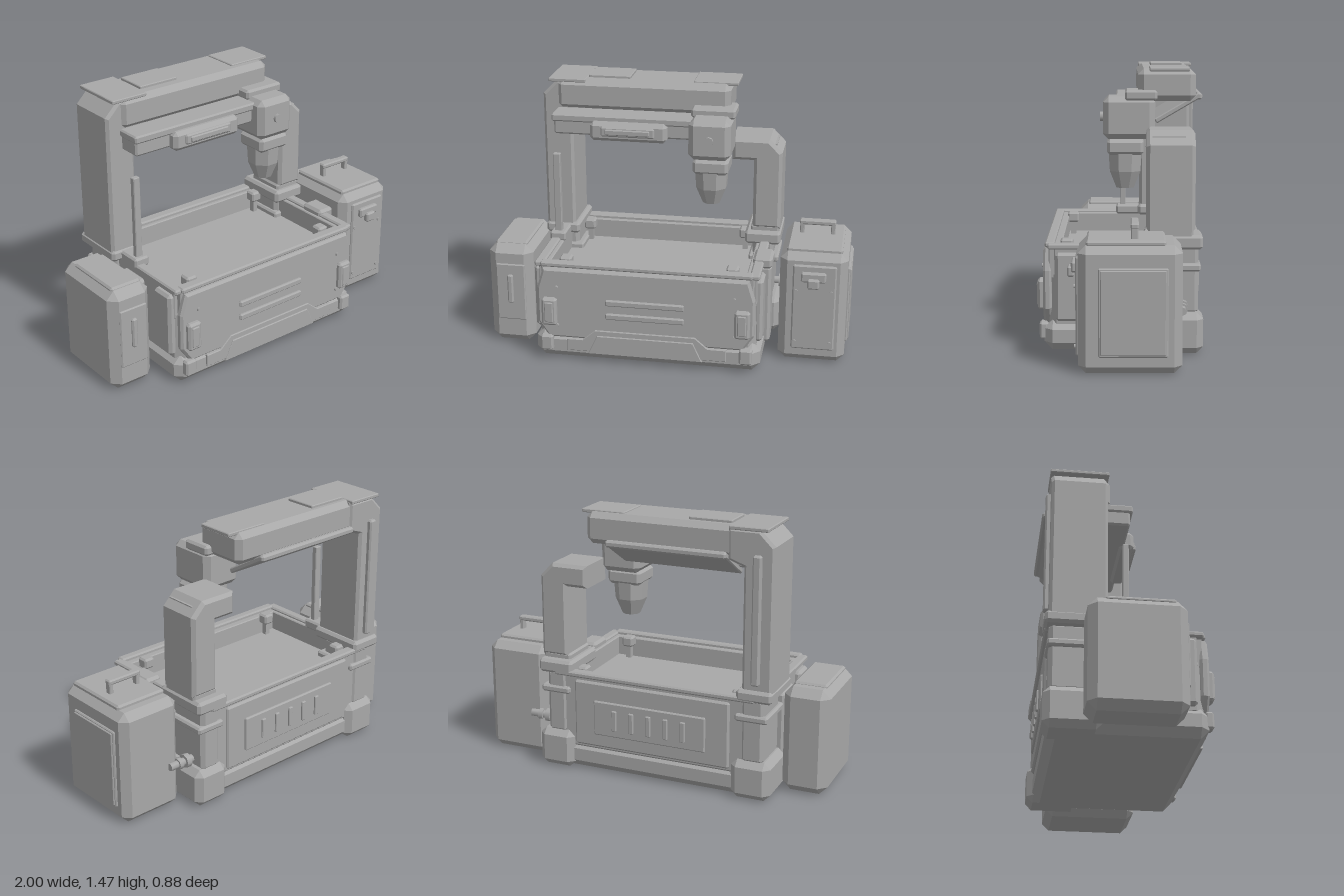
import * as THREE from 'three';
import { ConvexGeometry } from 'three/addons/geometries/ConvexGeometry.js';

const grey = new THREE.MeshStandardMaterial({ color: 0xa8a8a8 });
grey.name = 'machineGrey';

// Box given by its bounds, with every edge chamfered by c
function chamferBox([x0, x1], [y0, y1], [z0, z1], c) {
  const pts = [];
  for (const [x, sx] of [[x0, 1], [x1, -1]])
    for (const [y, sy] of [[y0, 1], [y1, -1]])
      for (const [z, sz] of [[z0, 1], [z1, -1]])
        pts.push(
          new THREE.Vector3(x, y + sy * c, z + sz * c),
          new THREE.Vector3(x + sx * c, y, z + sz * c),
          new THREE.Vector3(x + sx * c, y + sy * c, z));
  return new ConvexGeometry(pts);
}

// Polygon in the front plane, extruded from z0 to z1 with an optional bevel
function plate(points, z0, z1, bevel = 0) {
  const shape = new THREE.Shape(points.map(([x, y]) => new THREE.Vector2(x, y)));
  return new THREE.ExtrudeGeometry(shape, {
    depth: z1 - z0 - 2 * bevel, bevelEnabled: bevel > 0, bevelSize: bevel,
    bevelThickness: bevel, bevelOffset: -bevel, bevelSegments: 1,
  }).translate(0, 0, z0 + bevel);
}

export function createModel() {
  const model = new THREE.Group();
  model.name = 'gantryMillingMachine';
  let group = model;
  const section = (name) => {
    group = new THREE.Group();
    group.name = name;
    model.add(group);
  };
  const add = (name, geometry) => {
    const mesh = new THREE.Mesh(geometry, grey);
    mesh.name = name;
    group.add(mesh);
    return mesh;
  };
  const box = (name, x, y, z, c = 0) => add(name, c ? chamferBox(x, y, z, c)
    : new THREE.BoxGeometry(x[1] - x[0], y[1] - y[0], z[1] - z[0])
      .translate((x[0] + x[1]) / 2, (y[0] + y[1]) / 2, (z[0] + z[1]) / 2));
  const bolt = (name, x, y, z, r = 0.01, h = 0.012) => add(name,
    new THREE.CylinderGeometry(r, r, h, 8).rotateX(Math.PI / 2).translate(x, y, z));

  // Base and open work tub
  section('base');
  box('basePlinth', [-0.7, 0.54], [0, 0.16], [-0.395, 0.4], 0.045);
  for (const [x0, x1] of [[-0.75, -0.53], [0.39, 0.6]]) {
    box('rearCornerFoot', [x0, x1], [0, 0.215], [-0.425, -0.13], 0.035);
    box('rearPillar', [x0 + 0.04, x1 - 0.05], [0.2, 0.56], [-0.4, -0.16], 0.02);
    box('pillarRib', [x0 + 0.02, x1 - 0.02], [0.43, 0.47], [-0.41, -0.14], 0.01);
  }
  section('workTub');
  box('tubBody', [-0.68, 0.515], [0.1, 0.44], [-0.39, 0.375], 0.04);
  for (const z of [[-0.39, -0.34], [0.31, 0.375]])
    box('tubLongWall', [-0.66, 0.5], [0.38, 0.55], z, 0.005);
  for (const x of [[-0.68, -0.62], [0.455, 0.515]])
    box('tubEndWall', x, [0.38, 0.55], [-0.36, 0.345], 0.005);
  for (const z of [[-0.42, -0.36], [0.345, 0.395]])
    box('longRim', [-0.66, 0.495], [0.54, 0.57], z, 0.008);
  for (const x of [[-0.695, -0.64], [0.475, 0.53]])
    box('endRim', x, [0.535, 0.565], [-0.4, 0.38], 0.008);
  for (const x of [-0.54, 0.375])
    for (const z of [-0.3, 0.285]) {
      box('clampBlock', [x - 0.033, x + 0.033], [0.51, 0.57], [z - 0.033, z + 0.033], 0.01);
      box('clampStem', [x - 0.015, x + 0.015], [0.43, 0.52], [z - 0.015, z + 0.015]);
    }

  // Front fascia with slots, grips and bolts
  section('frontFascia');
  add('frontPanel', plate([[-0.62, 0.13], [0.45, 0.13], [0.51, 0.22], [0.51, 0.42],
    [0.475, 0.535], [-0.645, 0.535], [-0.68, 0.42], [-0.68, 0.22]], 0.36, 0.405, 0.012));
  add('skirtTrim', plate([[-0.52, 0.06], [0.36, 0.06], [0.36, 0.13], [0.26, 0.13], [0.19, 0.19],
    [-0.36, 0.19], [-0.43, 0.13], [-0.52, 0.13]], 0.39, 0.412, 0.004));
  add('skirtInset', plate([[-0.4, 0.05], [0.23, 0.05], [0.18, 0.16], [-0.35, 0.16]], 0.4, 0.418, 0.004));
  for (const y of [0.28, 0.36])
    box('frontSlotBar', [-0.3, 0.13], [y - 0.017, y + 0.017], [0.4, 0.42], 0.006);
  for (const x of [-0.57, 0.4])
    for (const y of [0.205, 0.43]) bolt('panelBolt', x, y, 0.41);
  for (const x of [-0.61, 0.445]) {
    box('sideGrip', [x - 0.042, x + 0.042], [0.21, 0.37], [0.395, 0.435], 0.012);
    box('gripFace', [x - 0.025, x + 0.025], [0.23, 0.35], [0.42, 0.44], 0.006);
  }
  for (const x of [-0.63, 0.465])
    box('lowerLatch', [x - 0.035, x + 0.035], [0.055, 0.145], [0.38, 0.425], 0.01);

  // Rear vent panel
  section('rearPanel');
  box('rearCover', [-0.52, 0.38], [0.15, 0.52], [-0.405, -0.37], 0.01);
  box('ventPlate', [-0.39, 0.26], [0.225, 0.42], [-0.417, -0.39], 0.006);
  for (let i = 0; i < 5; i++) {
    const x = -0.265 + i * 0.1;
    box('ventBar', [x - 0.014, x + 0.014], [0.265, 0.38], [-0.428, -0.41], 0.004);
  }

  // Control block and side ribs on the tub's end
  section('sideFittings');
  box('controlBlock', [0.475, 0.57], [0.08, 0.53], [0.04, 0.17], 0.015);
  box('controlBlockCap', [0.47, 0.575], [0.52, 0.585], [0.03, 0.18], 0.015);
  for (const x of [[-0.71, -0.66], [0.5, 0.545]])
    box('endPanel', x, [0.16, 0.52], [0.2, 0.34], 0.015);
  box('leftServiceRib', [-0.72, -0.66], [0.1, 0.5], [-0.1, 0.08], 0.015);
  for (const [r, x0, x1] of [[0.022, 0.52, 0.7], [0.038, 0.575, 0.605], [0.032, 0.625, 0.65]])
    add('couplingPipe', new THREE.CylinderGeometry(r, r, x1 - x0, 8)
      .rotateZ(Math.PI / 2).translate((x0 + x1) / 2, 0.25, -0.31));

  // Gantry column, beam and carriage rail
  section('gantry');
  box('columnFoot', [-0.755, -0.56], [0.545, 0.61], [-0.425, -0.1], 0.015);
  add('column', plate([[-0.75, 0.58], [-0.585, 0.58], [-0.585, 1.25], [-0.5, 1.28], [-0.5, 1.445],
    [-0.67, 1.445], [-0.75, 1.365]], -0.405, -0.11, 0.015));
  box('columnRearRail', [-0.685, -0.64], [0.64, 1.32], [-0.43, -0.39], 0.008);
  box('columnFrontPost', [-0.675, -0.635], [0.59, 1.055], [-0.027, 0.005], 0.004);
  box('postBracket', [-0.7, -0.61], [0.545, 0.6], [-0.12, 0.03], 0.01);
  box('beam', [-0.67, 0.3], [1.285, 1.455], [-0.395, -0.09], 0.03);
  box('carriageRail', [-0.66, 0.3], [1.175, 1.27], [-0.14, 0.015], 0.01);
  box('carriageRailLip', [-0.67, 0.31], [1.25, 1.292], [-0.15, 0.03], 0.008);
  box('railDisplay', [-0.45, -0.025], [1.16, 1.265], [-0.02, 0.065], 0.02);
  box('displayFrame', [-0.385, -0.09], [1.19, 1.245], [0.05, 0.078], 0.008);
  box('displayBar', [-0.36, -0.115], [1.202, 1.233], [0.07, 0.088], 0.005);
  for (const [x0, x1, y, z0, z1] of [[-0.715, -0.505, 1.45, -0.41, -0.1],
    [-0.5, -0.265, 1.462, -0.345, -0.165], [0.09, 0.335, 1.455, -0.36, -0.15]])
    box('beamTopPlate', [x0, x1], [y - 0.012, y + 0.008], [z0, z1], 0.004);
  // Sloping cover under the beam, with a bar along its rear edge
  const cover = add('slopingCover', chamferBox([-0.5, 0.17], [-0.014, 0.014], [-0.14, 0.14], 0.006));
  cover.position.set(0, 1.24, -0.305);
  cover.rotation.x = 0.53;
  box('coverRearBar', [-0.5, 0.17], [1.285, 1.322], [-0.435, -0.4], 0.01);

  // Spindle head
  section('spindleHead');
  box('headHousing', [0.095, 0.325], [1.085, 1.31], [-0.18, 0.095], 0.03);
  box('headCap', [0.095, 0.337], [1.29, 1.345], [-0.19, -0.02], 0.012);
  bolt('headBoss', 0.21, 1.2, 0.1, 0.025, 0.022);
  box('neckCollar', [0.117, 0.312], [1.0, 1.085], [-0.12, 0.075], 0.018);
  const nozzle = [[0, 0.82], [0.05, 0.82], [0.088, 0.91], [0.095, 1.01]]
    .map(([r, y]) => new THREE.Vector2(r, y));
  const tip = add('spindleNozzle', new THREE.LatheGeometry(nozzle, 8, Math.PI / 8).toNonIndexed());
  tip.geometry.computeVertexNormals();
  tip.position.set(0.213, 0, -0.022);

  // Hooked arm
  section('hookedArm');
  box('armFoot', [0.39, 0.59], [0.545, 0.62], [-0.42, -0.11], 0.015);
  box('armSocket', [0.42, 0.58], [0.6, 0.65], [-0.37, -0.14], 0.01);
  add('arm', plate([[0.43, 0.635], [0.587, 0.635], [0.587, 1.08], [0.515, 1.153], [0.31, 1.153],
    [0.31, 1.03], [0.43, 1.03]], -0.38, -0.13, 0.018));
  box('armSeam', [0.575, 0.59], [1.118, 1.124], [-0.33, -0.16]);
  model.getObjectByName('armSeam').position.x = -0.035;

  // Slim cabinet
  section('slimCabinet');
  box('slimCabinetBody', [-1, -0.75], [0, 0.585], [-0.235, 0.25], 0.045);
  box('slimCabinetLid', [-0.965, -0.785], [0.57, 0.597], [-0.15, 0.2], 0.01);
  box('slimCabinetDoor', [-0.955, -0.79], [0.145, 0.48], [0.235, 0.257], 0.006);
  box('slimCabinetHandle', [-0.89, -0.857], [0.25, 0.42], [0.25, 0.272], 0.008);

  // Large cabinet with carrying handle
  section('largeCabinet');
  box('largeCabinetBody', [0.618, 0.982], [0, 0.635], [-0.3, 0.21], 0.04);
  box('largeCabinetLid', [0.65, 0.95], [0.625, 0.657], [-0.22, 0.17], 0.01);
  box('largeCabinetDoor', [0.69, 0.925], [0.08, 0.575], [0.195, 0.222], 0.008);
  box('latchPlate', [0.735, 0.87], [0.485, 0.54], [0.215, 0.245], 0.008);
  box('latchCatch', [0.77, 0.835], [0.455, 0.51], [0.23, 0.265], 0.008);
  for (const x of [0.71, 0.9])
    for (const y of [0.125, 0.425]) bolt('doorBolt', x, y, 0.224);
  box('sidePanel', [0.97, 0.993], [0.09, 0.53], [-0.23, 0.11], 0.006);
  box('sidePanelInset', [0.985, 1], [0.1, 0.52], [-0.22, 0.1], 0.004);
  for (const x of [0.715, 0.885])
    box('handlePost', [x - 0.012, x + 0.012], [0.645, 0.72], [-0.085, -0.05], 0.004);
  box('handleBar', [0.7, 0.9], [0.705, 0.733], [-0.088, -0.047], 0.007);

  return model;
}
